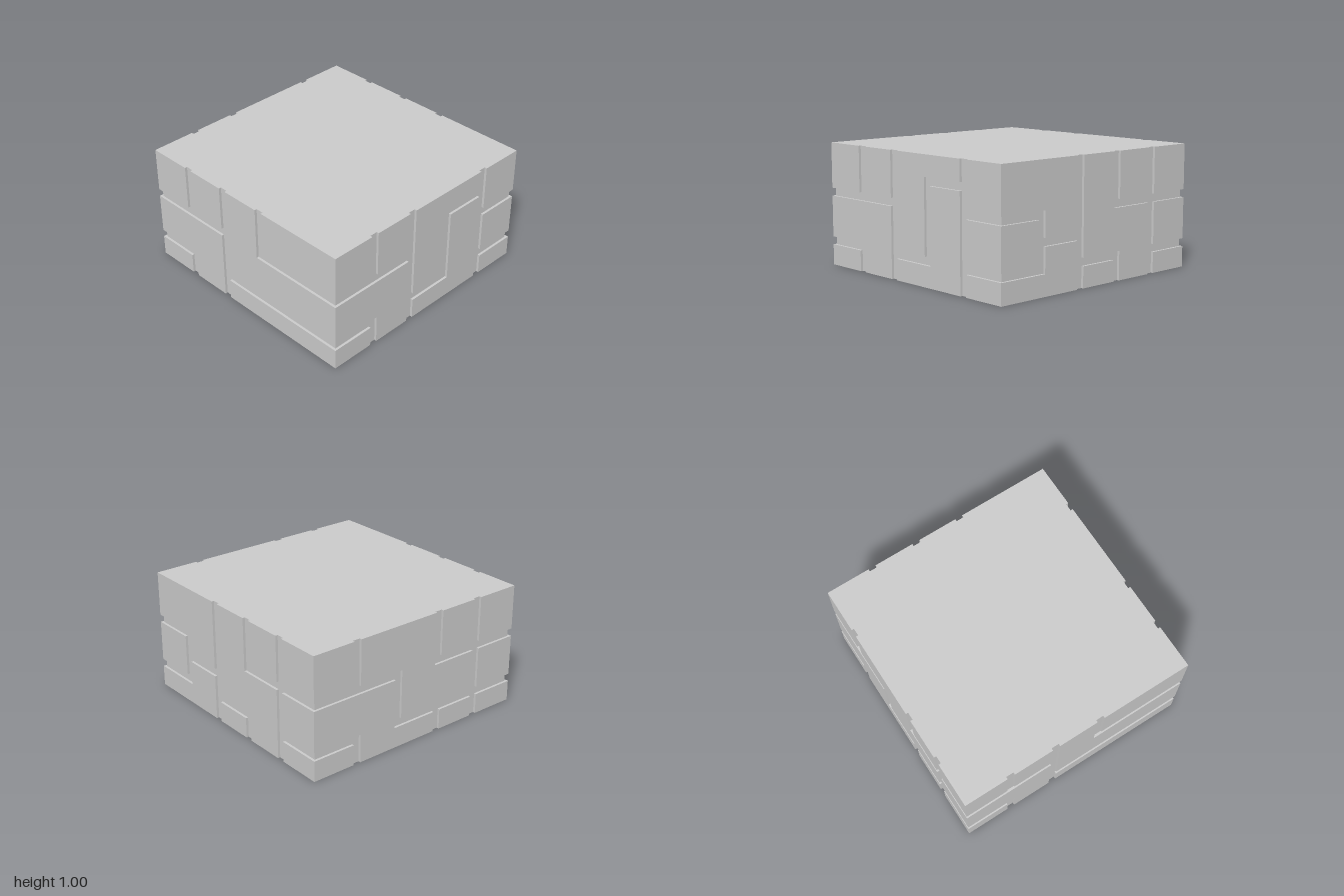
import * as THREE from 'three';

const DEPTH = 0.02;   // groove depth
const HALF = 0.032;   // half the groove width
const rect = (u0, y0, u1, y1) => [[u0, y0], [u1, y0], [u1, y1], [u0, y1]];

// Tile outlines per face along groove centre lines: [across, up], counter-clockwise
const faces = {
  front: [
    rect(-1, .6, -.6, 1), rect(-.6, .6, -.2, 1), rect(-1, 0, -.6, .2),
    [[-.6, 0], [-.2, 0], [-.2, .6], [-1, .6], [-1, .2], [-.6, .2]],
    [[-.2, .2], [.2, .2], [.2, .8], [.6, .8], [.6, 1], [-.2, 1]],
    [[-.2, 0], [.6, 0], [.6, .8], [.2, .8], [.2, .2], [-.2, .2]],
    rect(.6, 0, 1, .2), rect(.6, .2, 1, .6), rect(.6, .6, 1, 1),
  ],
  right: [
    [[-.6, .4], [-.2, .4], [-.2, 1], [-1, 1], [-1, .6], [-.6, .6]],
    rect(-1, .2, -.6, .6),
    [[-1, 0], [-.2, 0], [-.2, .4], [-.6, .4], [-.6, .2], [-1, .2]],
    rect(-.2, 0, .2, .2),
    [[.2, 0], [.6, 0], [.6, .6], [.2, .6], [.2, 1], [-.2, 1], [-.2, .2], [.2, .2]],
    rect(.2, .6, .6, 1),
    rect(.6, 0, 1, .2), rect(.6, .2, 1, .6), rect(.6, .6, 1, 1),
  ],
  back: [
    rect(-1, .6, -.6, 1), rect(.2, .6, .6, 1), rect(-1, 0, -.6, .2), rect(.2, 0, .6, .2),
    [[-.2, .2], [.6, .2], [.6, .6], [.2, .6], [.2, 1], [-.6, 1], [-.6, .6], [-.2, .6]],
    [[-.6, 0], [.2, 0], [.2, .2], [-.2, .2], [-.2, .6], [-1, .6], [-1, .2], [-.6, .2]],
    rect(.6, 0, 1, .2), rect(.6, .2, 1, .6), rect(.6, .6, 1, 1),
  ],
  left: [
    rect(-1, .6, -.6, 1), rect(-.6, .6, -.2, 1), rect(-1, 0, -.6, .2),
    [[-.6, 0], [-.2, 0], [-.2, .6], [-1, .6], [-1, .2], [-.6, .2]],
    [[-.2, .2], [1, .2], [1, .6], [.2, .6], [.2, 1], [-.2, 1]],
    rect(.2, .6, 1, 1), rect(-.2, 0, 1, .2),
  ],
};

// Shrinks an outline by half a groove, except along the borders of the face
function insetShape(points, edge) {
  const n = points.length;
  return new THREE.Shape(points.map((p, i) => {
    const out = new THREE.Vector2(p[0], p[1]);
    for (const [a, b] of [[points[(i + n - 1) % n], p], [p, points[(i + 1) % n]]]) {
      if (a[0] === b[0]) {
        out.x = Math.abs(a[0]) === 1 ? a[0] * edge : a[0] - HALF * Math.sign(b[1] - a[1]);
      } else if (a[1] !== 0 && a[1] !== 1) {
        out.y = a[1] + HALF * Math.sign(b[0] - a[0]);
      }
    }
    return out;
  }));
}

export function createModel() {
  const model = new THREE.Group();
  model.name = 'groovedBlock';
  const material = new THREE.MeshStandardMaterial({ color: 0xcccccc });

  // Solid core forming the groove floors
  const inner = 1 - DEPTH;
  const core = new THREE.Mesh(new THREE.BoxGeometry(inner * 2, 1, inner * 2), material);
  core.name = 'core';
  core.position.y = 0.5;
  model.add(core);

  // Raised tiles on the four sides; front and back tiles fill the corners
  Object.entries(faces).forEach(([name, tiles], i) => {
    const side = new THREE.Group();
    side.name = name + 'Tiles';
    side.rotation.y = i * Math.PI / 2;
    tiles.forEach((points, k) => {
      const shape = insetShape(points, i % 2 ? inner : 1);
      const geometry = new THREE.ExtrudeGeometry(shape, { depth: DEPTH, bevelEnabled: false });
      const tile = new THREE.Mesh(geometry, material);
      tile.name = name + 'Tile' + (k + 1);
      tile.position.z = inner;
      side.add(tile);
    });
    model.add(side);
  });
  return model;
}
